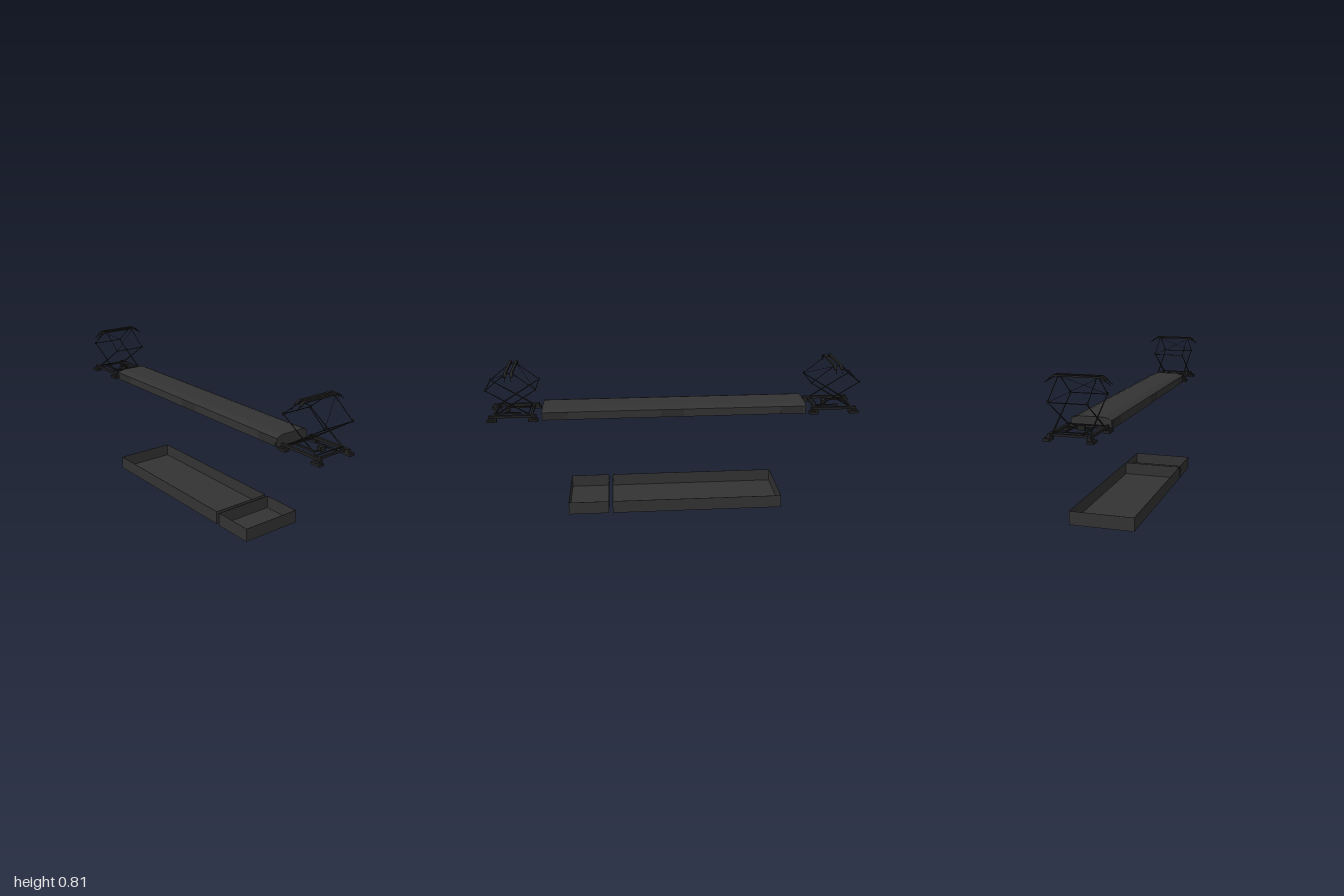
import * as THREE from 'three';

const charcoal = new THREE.MeshStandardMaterial({ color: 0x333333, side: THREE.DoubleSide });
charcoal.name = 'charcoal';
const panelGrey = new THREE.MeshStandardMaterial({ color: 0x2d2d2d });
panelGrey.name = 'panelGrey';
const black = new THREE.MeshStandardMaterial({ color: 0x202020 });
black.name = 'frameBlack';

function add(parent, name, geometry, material) {
  const mesh = new THREE.Mesh(geometry, material);
  mesh.name = name;
  parent.add(mesh);
  return mesh;
}

function box(parent, name, size, pos, material = black) {
  const mesh = add(parent, name, new THREE.BoxGeometry(...size), material);
  mesh.position.set(...pos);
  return mesh;
}

// Straight round bar between two points
function rod(parent, name, a, b, r0, r1 = r0) {
  const from = new THREE.Vector3(...a), to = new THREE.Vector3(...b);
  const dir = to.clone().sub(from);
  const mesh = add(parent, name, new THREE.CylinderGeometry(r1, r0, dir.length(), 6), black);
  mesh.position.copy(from).add(to).multiplyScalar(0.5);
  mesh.quaternion.setFromUnitVectors(new THREE.Vector3(0, 1, 0), dir.normalize());
  return mesh;
}

// Open tray with thin walls
function tray(name, z0, z1) {
  const g = new THREE.Group();
  g.name = name;
  const w = 0.342, h = 0.072, t = 0.002, len = z1 - z0, zc = (z0 + z1) / 2;
  box(g, 'trayFloor', [w, t, len], [0, t / 2, zc], charcoal);
  for (const s of [-1, 1]) {
    box(g, 'traySide', [t, h, len], [s * (w - t) / 2, h / 2, zc], charcoal);
    box(g, 'trayEnd', [w, h, t], [0, h / 2, zc + s * (len - t) / 2], charcoal);
  }
  return g;
}

// Long roof housing with chamfered shoulders and side panels
function roofHousing() {
  const g = new THREE.Group();
  g.name = 'roofHousing';
  const profile = new THREE.Shape([
    [-0.1, 0.533], [0.1, 0.533], [0.1, 0.576], [0.085, 0.583], [0.062, 0.589],
    [-0.062, 0.589], [-0.085, 0.583], [-0.1, 0.576],
  ].map(([x, y]) => new THREE.Vector2(x, y)));
  const geo = new THREE.ExtrudeGeometry(profile, { depth: 1.42, bevelEnabled: false });
  geo.translate(0, 0, -0.71);
  add(g, 'housingShell', geo, charcoal);
  for (const s of [-1, 1])
    for (const z of [-0.635, 0.016, 0.64])
      box(g, 'sidePanel', [0.002, 0.04, 0.123], [s * 0.1005, 0.556, z], panelGrey);
  return g;
}

// Folding current collector
function pantograph(name, z) {
  const g = new THREE.Group();
  g.name = name;
  g.position.z = z;

  // Base frame and feet
  for (const s of [-1, 1]) {
    box(g, 'baseRail', [0.015, 0.013, 0.25], [s * 0.092, 0.557, 0]);
    box(g, 'crossBeam', [0.19, 0.011, 0.01], [0, 0.556, s * 0.1]);
    box(g, 'innerBar', [0.008, 0.008, 0.125], [s * 0.045, 0.558, s * 0.025]);
    for (const e of [-1, 1]) {
      box(g, 'foot', [0.03, 0.013, 0.052], [s * 0.1, 0.5375, e * 0.109]);
      box(g, 'footBlock', [0.02, 0.01, 0.026], [s * 0.095, 0.548, e * 0.112]);
    }
  }
  box(g, 'driveBox', [0.032, 0.024, 0.022], [0, 0.562, 0.035]);
  rod(g, 'driveShaft', [-0.045, 0.558, 0.035], [0.045, 0.558, 0.035], 0.003);

  // Arms: each lower arm crosses over to the opposite knee
  for (const e of [-1, 1]) {
    rod(g, 'pivotShaft', [-0.092, 0.566, -e * 0.085], [0.092, 0.566, -e * 0.085], 0.003);
    rod(g, 'kneeBar', [-0.092, 0.702, e * 0.131], [0.092, 0.702, e * 0.131], 0.0022);
    for (const s of [-1, 1]) {
      rod(g, 'lowerArm', [s * 0.086, 0.563, -e * 0.09], [s * 0.088, 0.702, e * 0.131], 0.004, 0.002);
      rod(g, 'upperArm', [s * 0.09, 0.702, e * 0.131], [s * 0.09, 0.795, e * 0.016], 0.0018);
      box(g, 'kneeJoint', [0.007, 0.013, 0.008], [s * 0.09, 0.704, e * 0.13]);
    }
    rod(g, 'diagonalBrace', [-e * 0.09, 0.702, e * 0.131], [e * 0.09, 0.792, e * 0.018], 0.001);
  }

  // Collector strips with bent ends and thin horns
  const strip = new THREE.Shape([
    [-0.13, 0.784], [-0.106, 0.797], [0.106, 0.797], [0.13, 0.784],
    [0.131, 0.789], [0.108, 0.805], [-0.108, 0.805], [-0.131, 0.789],
  ].map(([x, y]) => new THREE.Vector2(x, y)));
  for (const e of [-1, 1]) {
    const geo = new THREE.ExtrudeGeometry(strip, { depth: 0.014, bevelEnabled: false });
    geo.translate(0, 0, e * 0.016 - 0.007);
    add(g, 'collectorStrip', geo, black);
    for (const s of [-1, 1]) {
      rod(g, 'horn', [s * 0.125, 0.789, e * 0.016], [s * 0.154, 0.768, e * 0.016], 0.0016);
      rod(g, 'stripBrace', [s * 0.09, 0.796, e * 0.016], [s * 0.09, 0.774, e * 0.036], 0.0015);
    }
  }
  for (const s of [-1, 1])
    rod(g, 'stripLink', [s * 0.09, 0.794, -0.016], [s * 0.09, 0.794, 0.016], 0.002);
  return g;
}

export function createModel() {
  const model = new THREE.Group();
  model.name = 'roofEquipmentAndTrays';
  model.add(
    tray('longTray', -0.588, 0.352),
    tray('shortTray', 0.373, 0.592),
    roofHousing(),
    pantograph('frontPantograph', 0.865),
    pantograph('rearPantograph', -0.865),
  );
  return model;
}
